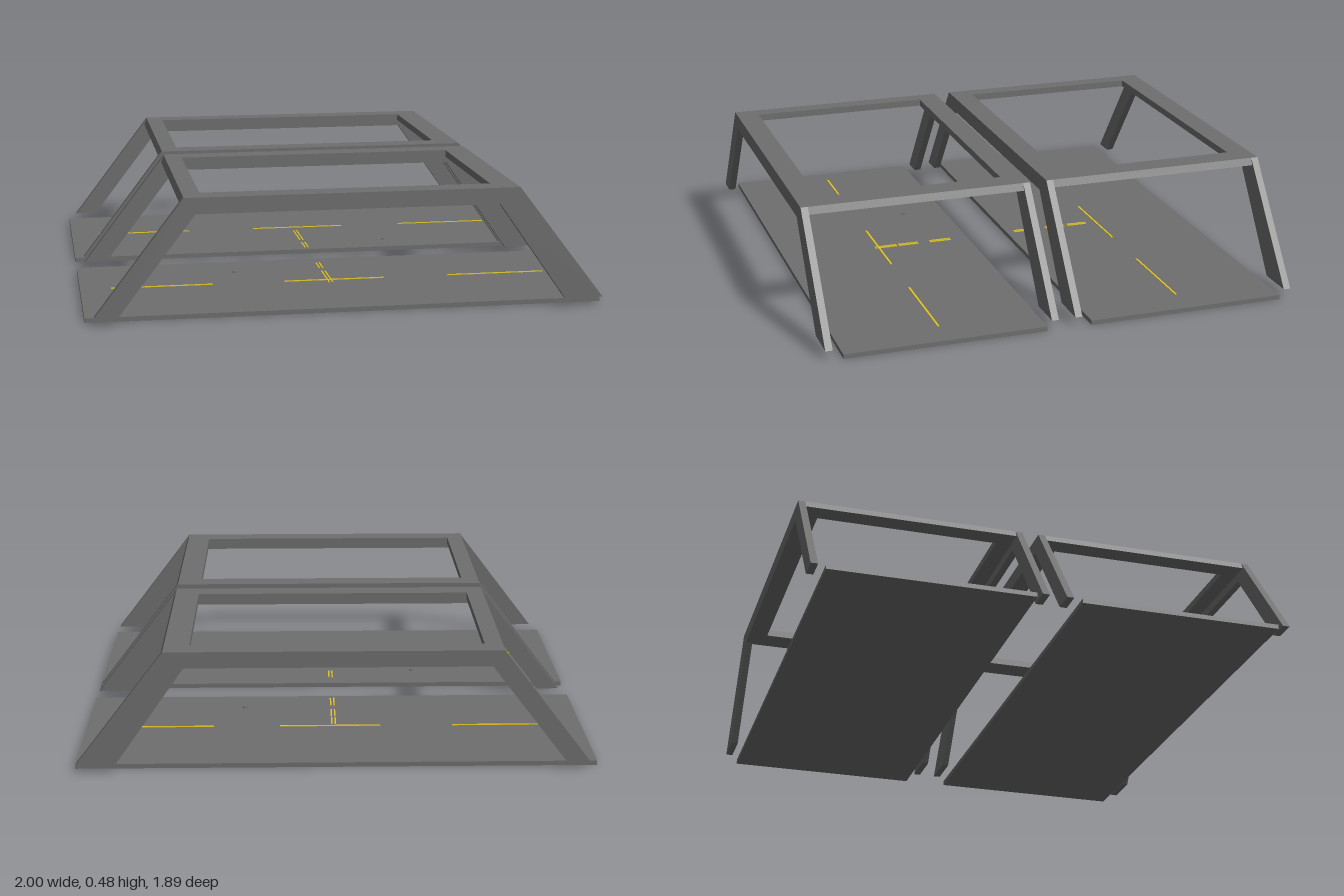
import * as THREE from 'three';

const steel = new THREE.MeshStandardMaterial({ color: 0x6f6f6f });
steel.name = 'grey';
const yellow = new THREE.MeshStandardMaterial({ color: 0xe0c424 });
yellow.name = 'yellow';

function polygon(points) {
  return points.map(([x, y]) => new THREE.Vector2(x, y));
}

function addMesh(parent, name, geometry, material) {
  const mesh = new THREE.Mesh(geometry, material);
  mesh.name = name;
  parent.add(mesh);
  return mesh;
}

// box given by its limits on each axis
function addBox(parent, name, [x0, x1], [y0, y1], [z0, z1], material) {
  const mesh = addMesh(parent, name, new THREE.BoxGeometry(x1 - x0, y1 - y0, z1 - z0), material);
  mesh.position.set((x0 + x1) / 2, (y0 + y1) / 2, (z0 + z1) / 2);
  return mesh;
}

// sloping-legged canopy frame: two side arches and an open roof ring
function makeFrame(zCentre) {
  const frame = new THREE.Group();
  frame.name = 'canopyFrame';
  frame.position.z = zCentre;
  const half = 0.456, thick = 0.028, top = 0.478;

  const arch = new THREE.Shape(polygon([
    [-0.965, 0.035], [-0.875, 0.035], [-0.585, 0.415], [0.575, 0.415],
    [0.84, 0.035], [0.99, 0.035], [0.652, top], [-0.628, top],
  ]));
  const archGeometry = new THREE.ExtrudeGeometry(arch, { depth: thick, bevelEnabled: false });
  for (const z of [-half, half - thick]) addMesh(frame, 'sideArch', archGeometry, steel).position.z = z;

  // roof ring fits between the arches, with slanted ends
  const w = half - thick;
  const ring = new THREE.Shape(polygon([[-0.628, -w], [0.652, -w], [0.652, w], [-0.628, w]]));
  ring.holes.push(new THREE.Path(polygon([[-0.56, -0.366], [-0.56, 0.366], [0.556, 0.366], [0.556, -0.366]])));
  const roof = new THREE.ExtrudeGeometry(ring, { depth: thick, bevelEnabled: false });
  roof.rotateX(-Math.PI / 2).translate(0, top - thick, 0);
  const p = roof.attributes.position;
  for (let i = 0; i < p.count; i++) {
    if (p.getY(i) < top - 0.01 && Math.abs(p.getX(i)) > 0.6) p.setX(i, p.getX(i) + Math.sign(p.getX(i)) * 0.012);
  }
  roof.computeVertexNormals();
  addMesh(frame, 'roofRing', roof, steel);
  return frame;
}

// floor slab with lane dashes, centre marks and a small stud
function makeDeck({ z, dashZ, marks, stud }) {
  const deck = new THREE.Group();
  deck.name = 'deck';
  addBox(deck, 'floorSlab', [-1, 1], [0, 0.018], z, steel);
  for (const x of [[-0.88, -0.475], [-0.185, 0.22], [0.485, 0.885]]) {
    addBox(deck, 'laneDash', x, [0.026, 0.029], [dashZ - 0.004, dashZ + 0.004], yellow);
  }
  for (const mark of marks) {
    for (const x of [[-0.008, -0.002], [0.006, 0.012]]) {
      addBox(deck, 'centreMark', x, [0.018, 0.021], mark, yellow);
    }
  }
  const button = addMesh(deck, 'floorStud', new THREE.CylinderGeometry(0.01, 0.01, 0.005, 16), steel);
  button.position.set(stud[0], 0.0195, stud[1]);
  return deck;
}

export function createModel() {
  const model = new THREE.Group();
  model.name = 'twinBayCanopy';
  model.add(makeFrame(0.488), makeFrame(-0.492));
  model.add(makeDeck({
    z: [0.081, 0.879], dashZ: 0.48, stud: [-0.36, 0.26],
    marks: [[0.157, 0.25], [0.302, 0.388], [0.396, 0.49]],
  }));
  model.add(makeDeck({
    z: [-0.897, -0.098], dashZ: -0.5, stud: [0.365, -0.24],
    marks: [[-0.463, -0.377], [-0.362, -0.275], [-0.222, -0.13]],
  }));
  return model;
}
